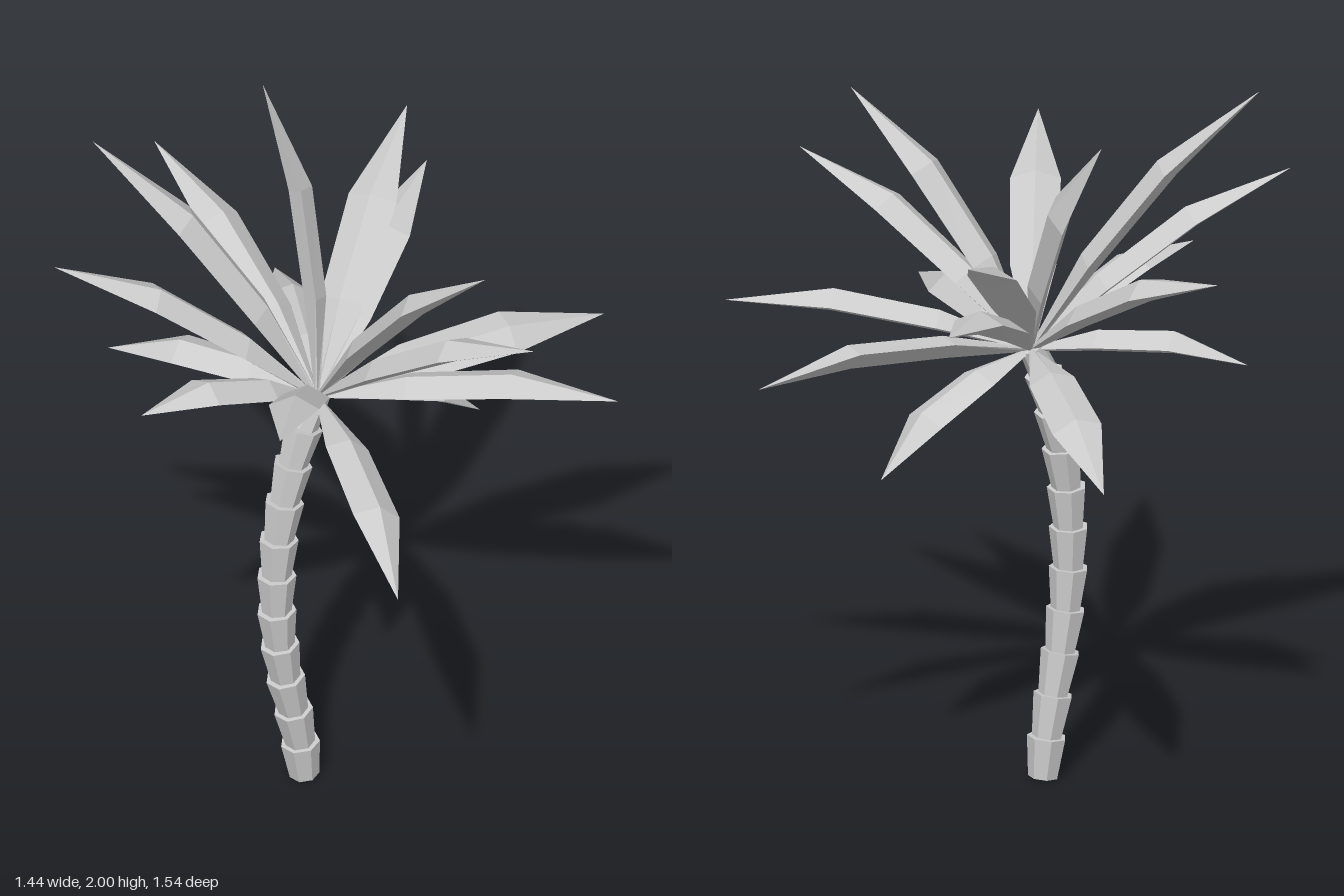
import * as THREE from 'three';

const material = new THREE.MeshStandardMaterial({ color: 0xcccccc, flatShading: true });
const crown = new THREE.Vector3(-0.1, 1.24, -0.025);
const UP = new THREE.Vector3(0, 1, 0);

// Centre line of the trunk as [x, y]
const trunkLine = [
  [-0.142, 0.003], [-0.155, 0.115], [-0.177, 0.232], [-0.202, 0.35], [-0.22, 0.467], [-0.23, 0.583],
  [-0.23, 0.7], [-0.223, 0.817], [-0.205, 0.935], [-0.178, 1.05], [-0.145, 1.16], [-0.1, 1.25],
];

// Tip of each frond as [x, y, z], and its roll about its own length
const frondTips = [
  [-0.14, 1.64, -0.77, 0.2], [0.21, 1.11, -0.72, 0.15], [0.45, 1.73, -0.44, 0], [0.5, 1.54, -0.42, 0],
  [0.415, 0.99, -0.025, 0], [0.715, 1.28, 0.12, 0.4], [0.485, 1.35, 0.55, 0], [0.17, 1.69, 0.625, 0],
  [0.095, 1.88, 0.5, 0], [-0.35, 1.16, 0.765, -0.3], [-0.58, 1.64, 0.54, 0], [-0.665, 1.41, -0.015, 0],
  [-0.72, 1.71, -0.36, 0], [-0.54, 2.0, -0.45, 0], [-0.46, 1.25, -0.5, 0], [0.0, 1.97, -0.45, 1.3],
];

// Sections along a frond: position, half width, arch, ridge height, keel depth
const sections = [
  [0, 0.006, 0, 0.006, 0.006],
  [0.31, 0.062, 0.04, 0.03, 0.03],
  [0.66, 0.068, 0.051, 0.032, 0.032],
  [1, 0.0005, 0, 0.0005, 0.0005],
];

// A closed, arched blade with a diamond cross-section
function frondGeometry(x, y, z, roll) {
  const along = new THREE.Vector3(x, y, z).sub(crown);
  const axis = along.clone().normalize();
  const side = new THREE.Vector3().crossVectors(along, UP).normalize().applyAxisAngle(axis, roll);
  const up = new THREE.Vector3().crossVectors(side, axis);
  const positions = [], index = [];
  for (const [t, width, arch, ridge, keel] of sections) {
    const centre = crown.clone().addScaledVector(along, t).addScaledVector(up, arch);
    for (const [s, u] of [[width, 0], [0, -keel], [-width, 0], [0, ridge]]) {
      positions.push(...centre.clone().addScaledVector(side, s).addScaledVector(up, u).toArray());
    }
  }
  for (let i = 0; i < sections.length - 1; i++) {
    for (let j = 0; j < 4; j++) {
      const a = i * 4 + j, b = i * 4 + (j + 1) % 4;
      index.push(a, b, b + 4, a, b + 4, a + 4);
    }
  }
  const last = (sections.length - 1) * 4;
  index.push(0, 2, 1, 0, 3, 2, last, last + 1, last + 2, last, last + 2, last + 3);
  const geometry = new THREE.BufferGeometry();
  geometry.setAttribute('position', new THREE.Float32BufferAttribute(positions, 3));
  geometry.setIndex(index);
  const flat = geometry.toNonIndexed();
  flat.computeVertexNormals();
  return flat;
}

export function createModel() {
  const model = new THREE.Group();
  model.name = 'palmTree';

  // Trunk: stacked rings that flare towards their tops
  const trunk = new THREE.Group();
  trunk.name = 'trunk';
  for (let i = 0; i < trunkLine.length - 1; i++) {
    const start = new THREE.Vector3(...trunkLine[i], crown.z);
    const end = new THREE.Vector3(...trunkLine[i + 1], crown.z);
    const direction = end.clone().sub(start);
    const isLast = i === trunkLine.length - 2;
    const geometry = new THREE.CylinderGeometry(isLast ? 0.036 : 0.054, 0.041, direction.length(), 7);
    const ring = new THREE.Mesh(geometry, material);
    ring.name = 'trunkRing';
    ring.position.copy(start).lerp(end, 0.5);
    ring.quaternion.setFromUnitVectors(UP, direction.normalize());
    trunk.add(ring);
  }
  model.add(trunk);

  // Crown of fronds
  const fronds = new THREE.Group();
  fronds.name = 'fronds';
  for (const tip of frondTips) {
    const frond = new THREE.Mesh(frondGeometry(...tip), material);
    frond.name = 'frond';
    fronds.add(frond);
  }
  model.add(fronds);
  return model;
}
